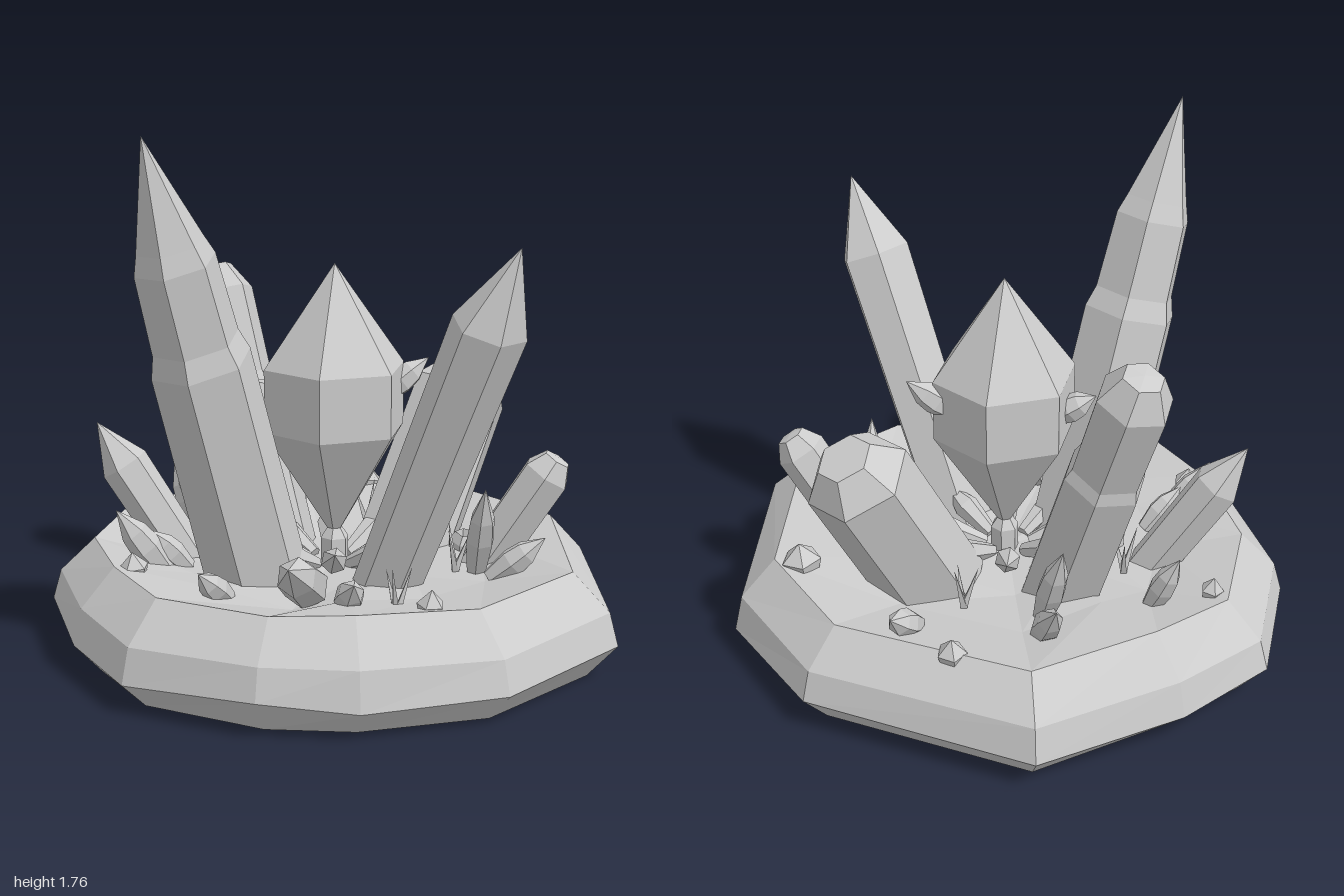
import * as THREE from 'three';

export function createModel() {
  const model = new THREE.Group();
  const stone = new THREE.MeshStandardMaterial({ color: 0xcccccc, flatShading: true });
  stone.name = 'pale stone';
  const V = (p) => new THREE.Vector3(...p);

  // Faceted shaft from base to tip; profile rows are [radius, fraction of length]
  function crystal(name, base, tip, profile, { sides = 6, spin = 0, depth = 1 } = {}) {
    const axis = V(tip).sub(V(base));
    const length = axis.length();
    const points = [[0, 0], ...profile].map(([r, t]) => new THREE.Vector2(r, t * length));
    const geometry = new THREE.LatheGeometry(points, sides);
    geometry.rotateY(spin);
    geometry.scale(1, 1, depth);
    const mesh = new THREE.Mesh(geometry, stone);
    mesh.name = name;
    mesh.position.set(...base);
    mesh.quaternion.setFromUnitVectors(new THREE.Vector3(0, 1, 0), axis.normalize());
    model.add(mesh);
    return mesh;
  }

  // Rock base: one irregular outline, scaled ring by ring up the side and into the dish
  const outline = [[-0.2, -1], [0.16, -0.94], [0.68, -0.77], [0.97, -0.01], [0.85, 0.49], [0.28, 0.99],
    [-0.27, 0.96], [-0.66, 0.7], [-0.85, 0.45], [-0.975, 0], [-0.86, -0.36], [-0.62, -0.75]];
  const rings = [[0, 0, 0], [0.9, 0, 0], [1, 0.105, 0.015], [0.97, 0.22, 0.008], [0.845, 0.345, 0.008],
    [0.55, 0.285, 0.02], [0.3, 0.265, 0.015], [0, 0.26, 0]];
  const corner = (k, i) => {
    const [s, y, rough] = rings[k];
    const [x, z] = outline[i % outline.length];
    return [x * s, y + rough * Math.sin((i % outline.length) * 2.3 + k), z * s];
  };
  const positions = [];
  for (let k = 0; k < rings.length - 1; k++) {
    for (let i = 0; i < outline.length; i++) {
      const a = corner(k, i), b = corner(k, i + 1), c = corner(k + 1, i), d = corner(k + 1, i + 1);
      if (k > 0) positions.push(...a, ...c, ...b);
      if (k < rings.length - 2) positions.push(...b, ...c, ...d);
    }
  }
  const rockGeometry = new THREE.BufferGeometry();
  rockGeometry.setAttribute('position', new THREE.Float32BufferAttribute(positions, 3));
  rockGeometry.computeVertexNormals();
  const rock = new THREE.Mesh(rockGeometry, stone);
  rock.name = 'rockBase';
  model.add(rock);

  // Large crystals
  const turn = Math.PI / 6;
  crystal('centralCrystal', [0.015, 0.34, 0], [0.015, 1.3, 0],
    [[0.25, 0.41], [0.25, 0.635], [0, 1]]);
  crystal('tallSteppedCrystal', [-0.275, 0.2, -0.07], [-0.745, 1.76, -0.11],
    [[0.175, 0], [0.168, 0.53], [0.145, 0.575], [0.135, 0.74], [0.112, 0.78], [0, 1]]);
  crystal('frontCrystal', [-0.05, 0.2, 0.265], [-0.037, 1.43, 0.8],
    [[0.125, 0], [0.138, 0.79], [0, 1]], { spin: turn, depth: 0.85 });
  crystal('backCrystal', [0.05, 0.2, -0.29], [0.11, 1.22, -0.68],
    [[0.145, 0], [0.14, 0.57], [0.125, 0.61], [0.128, 0.9], [0.07, 0.99], [0, 1]]);
  crystal('sideCrystal', [0.3, 0.2, 0.055], [0.67, 0.86, 0.08],
    [[0.185, 0], [0.18, 0.87], [0.095, 1], [0, 1]]);
  crystal('shortFrontCrystal', [0.3, 0.2, 0.38], [0.455, 0.65, 0.62],
    [[0.085, 0], [0.088, 0.87], [0.05, 0.99], [0, 1]]);
  crystal('shortBackCrystal', [-0.26, 0.2, -0.41], [-0.46, 0.73, -0.68],
    [[0.08, 0], [0.085, 0.72], [0, 1]]);
  crystal('lowLeaningCrystal', [-0.34, 0.29, 0.21], [-0.66, 0.48, 0.41],
    [[0.05, 0], [0.075, 0.2], [0.065, 0.65], [0, 1]]);

  // Small pointed shards on the floor and two growing from the central crystal
  const shards = [
    [[-0.48, 0.27, -0.32], [-0.62, 0.5, -0.41], 0.055],
    [[-0.4, 0.27, -0.3], [-0.52, 0.42, -0.36], 0.045],
    [[0.33, 0.27, -0.46], [0.45, 0.5, -0.64], 0.05],
    [[0.25, 0.27, -0.4], [0.31, 0.61, -0.54], 0.05],
    [[-0.04, 0.27, -0.62], [-0.05, 0.5, -0.73], 0.045],
    [[0.6, 0.3, -0.16], [0.75, 0.41, -0.2], 0.05],
    [[0.22, 0.27, 0.46], [0.115, 0.6, 0.57], 0.05],
    [[0.19, 0.27, 0.54], [0.29, 0.42, 0.69], 0.05],
    [[-0.35, 0.28, 0.37], [-0.46, 0.4, 0.5], 0.05],
    [[-0.56, 0.28, 0.05], [-0.7, 0.4, 0.06], 0.045],
    [[0.17, 0.83, 0.08], [0.3, 0.96, 0.18], 0.05],
    [[-0.08, 0.8, -0.14], [-0.16, 0.89, -0.26], 0.05],
  ];
  for (const [base, tip, r] of shards) {
    crystal('shard', base, tip, [[r * 0.7, 0], [r, 0.4], [r * 0.85, 0.65], [0, 1]]);
  }

  // Ring of shards fanning out under the central crystal
  for (let i = 0; i < 8; i++) {
    const a = (i * Math.PI) / 4;
    const c = Math.cos(a), s = Math.sin(a);
    crystal('fanShard', [0.08 * c, 0.27, 0.08 * s], [0.35 * c, 0.39, 0.33 * s],
      [[0.025, 0], [0.045, 0.5], [0, 1]]);
  }
  crystal('fanShard', [0.015, 0.24, 0], [0.015, 0.42, 0], [[0.05, 0], [0.05, 0.6], [0, 1]]);

  // Five-sided gems scattered near the rim
  for (const [x, z, r] of [[-0.18, -0.76, 0.04], [0.66, -0.39, 0.05], [0.65, 0.34, 0.07],
    [-0.3, 0.67, 0.045], [-0.66, -0.27, 0.05]]) {
    crystal('rimGem', [x, 0.27, z], [x * 1.02, 0.345 + r, z * 1.02],
      [[r * 0.6, 0], [r, 0.6], [0, 1]], { sides: 5 });
  }

  // Hollow five-sided stubs
  for (const [x, z] of [[-0.24, -0.27], [0.37, 0.29]]) {
    const stub = crystal('hollowStub', [x, 0.26, z], [x, 0.34, z],
      [[0.05, 0], [0.058, 0.6], [0.04, 1], [0.03, 0.6], [0, 0.6]], { sides: 5 });
    stub.rotation.x = 0.15;
  }

  // Tufts of three needles
  for (const [x, z] of [[-0.14, -0.42], [0.39, -0.17], [0.18, 0.4], [-0.29, 0.53]]) {
    for (let i = 0; i < 3; i++) {
      const a = (i * Math.PI * 2) / 3 + x * 5;
      crystal('needle', [x, 0.27, z], [x + 0.05 * Math.cos(a), 0.41 + 0.015 * i, z + 0.05 * Math.sin(a)],
        [[0.015, 0], [0, 1]], { sides: 4 });
    }
  }
  return model;
}
